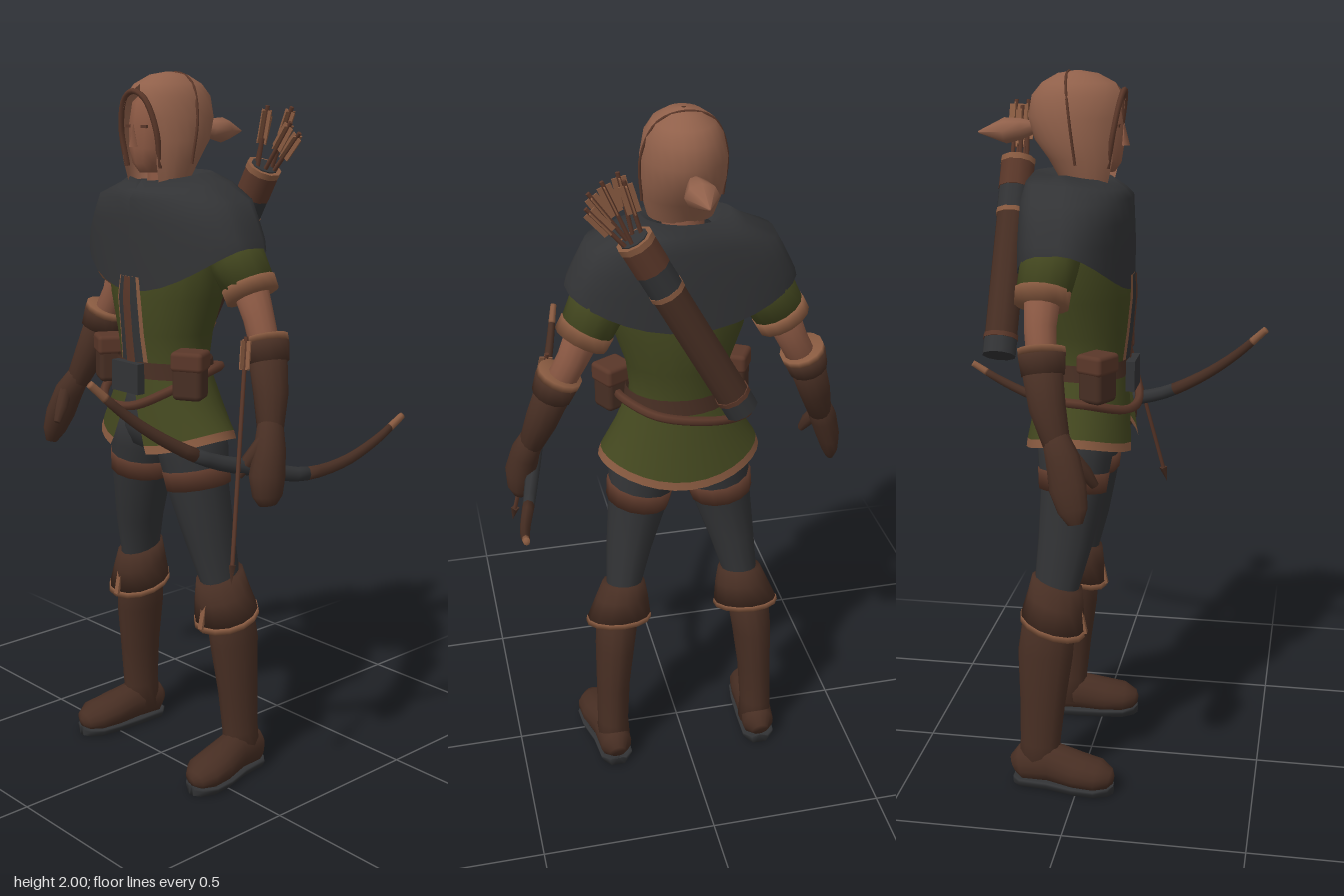
import * as THREE from 'three';
import { RoundedBoxGeometry } from 'three/addons/geometries/RoundedBoxGeometry.js';

const mat = (name, color, side = THREE.FrontSide) => {
  const m = new THREE.MeshStandardMaterial({ color, side });
  m.name = name;
  return m;
};

// Skin of elliptical rings. Section: [x, y, z, radiusU, radiusV, gap], gap = half angle left open.
function loft(sections, { n = 14, flat = false, open = false, a0 = Math.PI / 2, warp } = {}) {
  const V = (s) => new THREE.Vector3(s[0], s[1], s[2]);
  const pos = [], idx = [], m = open ? n + 1 : n, last = sections.length - 1;
  sections.forEach((s, i) => {
    const t = flat ? new THREE.Vector3(0, -1, 0)
      : V(sections[Math.min(i + 1, last)]).sub(V(sections[Math.max(i - 1, 0)])).normalize();
    const u = new THREE.Vector3(1, 0, 0).addScaledVector(t, -t.x).normalize();
    const v = t.clone().cross(u), g = s[5] || 0;
    for (let j = 0; j < m; j++) {
      const a = a0 + g + (2 * Math.PI - 2 * g) * j / n;
      const p = V(s).addScaledVector(u, s[3] * Math.cos(a)).addScaledVector(v, s[4] * Math.sin(a));
      if (warp) warp(p, i, a, s);
      pos.push(p.x, p.y, p.z);
    }
  });
  for (let i = 0; i < last; i++) for (let j = 0; j < n; j++) {
    const k = (j + 1) % m, a = i * m + j, b = i * m + k;
    idx.push(a, b, a + m, b, b + m, a + m);
  }
  if (!open) {
    const c = pos.length / 3;
    pos.push(...sections[0].slice(0, 3), ...sections[last].slice(0, 3));
    for (let j = 0; j < n; j++) {
      const k = (j + 1) % n;
      idx.push(c, k, j, c + 1, last * m + j, last * m + k);
    }
  }
  const g = new THREE.BufferGeometry();
  g.setAttribute('position', new THREE.Float32BufferAttribute(pos, 3));
  g.setIndex(idx);
  g.computeVertexNormals();
  return g;
}

const tube = (pts, r, closed = false, seg = 32) => new THREE.TubeGeometry(
  new THREE.CatmullRomCurve3(pts.map((p) => new THREE.Vector3(...p)), closed), seg, r, 6, closed);

export function createModel() {
  const root = new THREE.Group();
  root.name = 'archer';
  const D = THREE.DoubleSide;
  const skin = mat('skin', 0x8a5843), hair = mat('hair', 0x90604a, D), leather = mat('darkLeather', 0x472e23, D);
  const strap = mat('strapBrown', 0x5a3729, D), trim = mat('trim', 0x885a40, D);
  const cloth = mat('charcoal', 0x323335, D), green = mat('green', 0x43471f, D);
  const add = (name, geo, m, parent = root) => {
    const mesh = new THREE.Mesh(geo, m);
    mesh.name = name;
    parent.add(mesh);
    return mesh;
  };

  // Head
  add('face', loft([[-.01, 1.96, -.02, .04, .05], [-.01, 1.92, -.01, .066, .088], [-.01, 1.86, -.01, .076, .098],
    [-.01, 1.8, -.005, .068, .094], [-.01, 1.76, .005, .048, .078], [-.01, 1.735, .015, .022, .05]], { flat: true }), skin);
  add('neck', new THREE.CylinderGeometry(.05, .06, .14, 12).translate(-.01, 1.72, -.03), skin);
  const nose = add('nose', new THREE.ConeGeometry(.016, .06, 4), skin);
  nose.position.set(-.01, 1.835, .09);
  for (const s of [-1, 1]) {
    add('eye', new THREE.BoxGeometry(.022, .008, .008).translate(-.01 + s * .031, 1.858, .078), strap);
  }
  add('hair', loft([[-.01, 2, -.035, .006, .006, 0], [-.01, 1.992, -.035, .045, .055, 0], [-.01, 1.968, -.033, .08, .1, 0],
    [-.01, 1.935, -.033, .1, .128, .3], [-.01, 1.88, -.034, .111, .136, .6], [-.01, 1.82, -.028, .11, .125, .68],
    [-.01, 1.77, -.01, .105, .105, .72], [-.01, 1.71, .0, .088, .08, .8]], { flat: true, open: true, n: 20 }), hair);
  add('hairline', tube([[-.078, 1.75, .055], [-.082, 1.85, .072], [-.052, 1.93, .086], [-.01, 1.95, .09],
    [.032, 1.93, .086], [.062, 1.85, .072], [.058, 1.75, .055]], .008), strap);
  add('hairParting', tube([[-.117, 1.76, -.025], [-.122, 1.88, -.04], [-.082, 1.972, -.055], [-.01, 1.997, -.06],
    [.062, 1.972, -.055], [.102, 1.88, -.04], [.097, 1.76, -.025]], .004), strap);
  add('ponytail', loft([[-.01, 1.85, -.15, .015, .015], [-.01, 1.845, -.19, .03, .028], [-.01, 1.84, -.235, .045, .035],
    [-.01, 1.835, -.31, .003, .003]], { n: 8 }), hair);

  // Shoulder cape with scalloped hem
  add('cape', loft([[-.01, 1.69, -.04, .075, .075], [-.01, 1.735, -.045, .12, .108], [0, 1.71, -.04, .165, .135],
    [0, 1.668, -.035, .25, .148], [0, 1.61, -.035, .282, .15], [0, 1.55, -.035, .302, .152], [0, 1.42, -.035, .308, .152]], {
    flat: true, open: true, n: 32,
    warp: (p, i, a, s) => {
      const sn = Math.sin(a), c2 = Math.cos(a) ** 2;
      if (sn < 0 && i > 1) p.z = s[2] - s[4] * Math.pow(-sn, .55);
      if (i === 1 || i === 2) p.y -= .02 * Math.max(0, sn);
      if (i === 6) p.y += .13 * c2 + (sn < 0 ? .03 * sn * sn : 0);
      if (i === 5) p.y += .02 * c2;
    } }), cloth);

  // Tunic body, front placket and split skirt
  add('tunicBody', loft([[0, 1.63, -.03, .2, .1], [0, 1.5, -.02, .2, .13], [0, 1.4, -.02, .178, .138], [0, 1.3, -.015, .145, .125],
    [0, 1.22, -.015, .136, .114], [0, 1.13, -.015, .15, .116]], { flat: true, n: 20 }), green);
  const placket = (name, w, lift, m) => add(name, loft([[0, 1.46, -.02, .192, .135], [0, 1.4, -.02, .178, .138],
    [0, 1.3, -.015, .145, .125], [0, 1.2, -.015, .137, .115]].map((s, i) =>
    [s[0], s[1], s[2], s[3] + lift, s[4] + lift, Math.PI - w * (1 + i * .35)]),
  { flat: true, open: true, n: 6, a0: -Math.PI / 2 }), m);
  placket('placketTrim', .2, .003, trim);
  placket('placket', .155, .006, cloth);
  placket('placketLacing', .06, .009, strap);
  const hem = (p, i, a) => { p.y += [0, .01, .05, .05][i] * Math.cos(a) ** 2; };
  const skirt = [[0, 1.2, -.015, .139, .116, 0], [0, 1.1, -.02, .178, .136, .15], [0, .99, -.025, .222, .154, .3], [0, .967, -.025, .23, .158, .34]];
  add('skirt', loft(skirt.slice(0, 3), { flat: true, open: true, n: 28, warp: hem }), green);
  add('skirtHem', loft(skirt.slice(2), { flat: true, open: true, n: 28, warp: (p, i, a) => hem(p, i + 2, a) }), trim);
  add('hips', loft([[0, 1.14, -.02, .13, .105], [0, 1.02, -.03, .16, .118], [0, .97, -.03, .12, .1], [0, .95, -.03, .06, .06]], { flat: true }), cloth);

  // Belts, buckle and pouches
  add('belt', loft([[0, 1.225, -.015, .146, .124], [0, 1.18, -.015, .152, .128]], { flat: true, open: true, n: 24 }), leather);
  add('slungBelt', tube([[-.195, 1.13, .02], [-.11, 1.1, .115], [.03, 1.105, .132], [.14, 1.16, .085], [.16, 1.2, -.04],
    [.08, 1.19, -.148], [-.08, 1.16, -.152], [-.18, 1.14, -.09]], .013, true, 48), strap);
  add('buckle', new THREE.BoxGeometry(.11, .085, .025).translate(-.005, 1.18, .118), cloth);
  for (const s of [-1, 1]) {
    const pouch = new THREE.Group();
    pouch.name = 'pouch';
    pouch.position.set(s * .172, 1.2, .045);
    pouch.rotation.y = s * .5;
    root.add(pouch);
    add('pouchBag', new RoundedBoxGeometry(.085, .13, .075, 2, .015), leather, pouch);
    add('pouchFlap', new RoundedBoxGeometry(.092, .055, .084, 2, .012).translate(0, .042, 0), strap, pouch);
  }

  for (const s of [-1, 1]) {
    const limb = (name, sections, m, opts) => add(name, loft(sections.map((q) => [q[0] * s, ...q.slice(1)]), opts), m);
    // Arm
    limb('sleeve', [[.15, 1.62, -.05, .06, .07], [.225, 1.51, -.075, .078, .078], [.262, 1.44, -.085, .072, .072]], green);
    limb('sleeveCuff', [[.257, 1.45, -.085, .076, .075], [.276, 1.415, -.086, .075, .073]], trim);
    limb('upperArm', [[.26, 1.45, -.085, .05, .05], [.3, 1.36, -.085, .042, .043], [.35, 1.26, -.07, .04, .04]], skin);
    limb('bracerTrim', [[.333, 1.315, -.075, .062, .064], [.34, 1.298, -.073, .062, .064]], trim);
    limb('bracerCuff', [[.34, 1.3, -.073, .062, .064], [.358, 1.25, -.066, .055, .058]], leather);
    limb('bracer', [[.355, 1.255, -.068, .05, .054], [.385, 1.17, -.05, .045, .049], [.415, 1.08, -.02, .034, .036]], leather);
    limb('hand', s < 0
      ? [[.41, 1.1, -.025, .033, .036], [.432, 1.05, -.002, .039, .046], [.455, .98, .015, .034, .05], [.468, .925, .03, .024, .04], [.474, .89, .038, .012, .02]]
      : [[.41, 1.1, -.025, .033, .036], [.432, 1.04, -.002, .04, .046], [.445, .97, .02, .044, .054], [.45, .92, .022, .036, .045], [.452, .895, .022, .02, .028]], leather);
    limb('thumb', [[.425, 1.06, .015, .02, .022], [.405, 1.01, .05, .018, .02], [.394, .97, .075, .01, .012]], leather, { n: 8 });

    // Leg
    limb('leg', [[.085, 1.05, -.03, .09, .11], [.105, .96, -.03, .097, .105], [.125, .85, -.035, .083, .09], [.153, .72, -.05, .065, .077],
      [.175, .6, -.07, .05, .064], [.185, .5, -.075, .05, .062]], cloth);
    limb('thighStrap', [[.113, .92, -.032, .096, .102], [.123, .865, -.034, .09, .096]], strap);

    // Tall boot with turned cuff
    const tilt = (p, i, a, q) => { p.y -= (p.z - q[2]) * .3; };
    limb('bootCuff', [[.175, .606, -.068, .062, .072], [.182, .555, -.072, .077, .08], [.193, .49, -.08, .094, .09]], leather, { flat: true, warp: tilt });
    limb('bootCuffTrim', [[.193, .494, -.08, .0945, .091], [.194, .478, -.08, .0965, .093]], trim, { flat: true, warp: tilt });
    limb('bootShaft', [[.195, .53, -.085, .062, .075], [.21, .4, -.098, .057, .079], [.22, .26, -.105, .049, .066],
      [.225, .13, -.112, .046, .058], [.225, .05, -.115, .05, .064]], leather);
    const foot = [[.225, .05, -.188, .025, .03], [.225, .06, -.165, .047, .055], [.23, .068, -.08, .051, .062], [.243, .056, 0, .06, .052],
      [.25, .05, .06, .058, .045], [.253, .042, .095, .034, .03], [.253, .04, .106, .01, .012]];
    limb('foot', foot, leather, { warp: (p) => { p.y = Math.max(p.y, .02); } });
    limb('sole', foot.map((q) => [q[0], .03, q[2], q[3] * 1.04, .06]), cloth,
      { warp: (p) => { p.y = THREE.MathUtils.clamp(p.y, p.z > -.07 && p.z < -.02 ? .012 : 0, .024); } });
    const tab = add('bootLacing', new THREE.BoxGeometry(.016, .09, .008), trim);
    tab.position.set(s * .188, .505, .006);
    tab.rotation.x = -.2;
  }

  // Arrow pointing along -y of its own group
  const arrow = (length, parent) => {
    const g = new THREE.Group();
    g.name = 'arrow';
    parent.add(g);
    add('arrowShaft', new THREE.CylinderGeometry(.006, .006, length, 6).translate(0, -length / 2, 0), strap, g);
    for (const r of [0, Math.PI / 2]) {
      add('fletching', new THREE.BoxGeometry(.036, .075, .004).rotateY(r).translate(0, -.05, 0), trim, g);
    }
    return g;
  };

  // Quiver slung diagonally on the back
  const quiver = new THREE.Group();
  quiver.name = 'quiver';
  quiver.position.set(.018, 1.493, -.238);
  quiver.rotation.z = -.508;
  root.add(quiver);
  [['quiverBase', -.289, -.235, .047, cloth], ['quiverBody', -.235, .13, .046, leather], ['quiverLowerTrim', -.243, -.23, .049, strap],
    ['quiverBand', .13, .2, .0475, cloth], ['quiverBandTrim', .12, .134, .049, trim], ['quiverCollar', .2, .289, .049, strap],
    ['quiverRim', .274, .291, .05, trim]].forEach(([name, y0, y1, r, m]) =>
    add(name, new THREE.CylinderGeometry(r, r, y1 - y0, 10).translate(0, (y0 + y1) / 2, 0), m, quiver));
  add('quiverMouth', new THREE.CylinderGeometry(.038, .038, .004, 10).translate(0, .292, 0), cloth, quiver);
  [[-.025, .01, .43, .22], [.005, -.02, .47, .1], [.02, .012, .45, -.12], [.03, -.012, .43, -.22], [-.012, .025, .45, .3]].forEach(([x, z, top, lean]) => {
    const a = arrow(.2, quiver);
    a.position.set(x - Math.sin(lean) * .13, top, z);
    a.rotation.z = lean;
  });

  // Bow in the left hand, in coloured lengths
  const curve = new THREE.CatmullRomCurve3([[.272, 1.255, .472], [.3, 1.17, .385], [.335, 1.09, .28], [.37, 1.025, .16], [.408, .985, .02],
    [.442, .95, -.12], [.468, .965, -.25], [.482, 1.01, -.37], [.489, 1.065, -.47]].map((p) => new THREE.Vector3(...p)));
  const limbPart = (name, t0, t1, m) => add(name, loft(Array.from({ length: 10 }, (_, i) => {
    const t = t0 + (t1 - t0) * i / 9, r = .02 - .011 * Math.abs(t - .5) * 2;
    return [...curve.getPoint(t).toArray(), r, r * 1.15];
  }), { n: 8 }), m);
  limbPart('bowFrontTip', 0, .06, trim);
  limbPart('bowFrontLimb', .06, .34, leather);
  limbPart('bowGrip', .34, .64, cloth);
  limbPart('bowBackLimb', .64, .94, leather);
  limbPart('bowBackTip', .94, 1, trim);

  // Arrow held beside the bow
  const from = new THREE.Vector3(.355, 1.33, .015), to = new THREE.Vector3(.465, .71, .165);
  const held = arrow(from.distanceTo(to) - .03, root);
  held.position.copy(from);
  held.quaternion.setFromUnitVectors(new THREE.Vector3(0, -1, 0), to.clone().sub(from).normalize());
  add('arrowHead', new THREE.ConeGeometry(.013, .05, 4).rotateX(Math.PI).translate(0, -from.distanceTo(to) + .025, 0), leather, held);

  return root;
}
